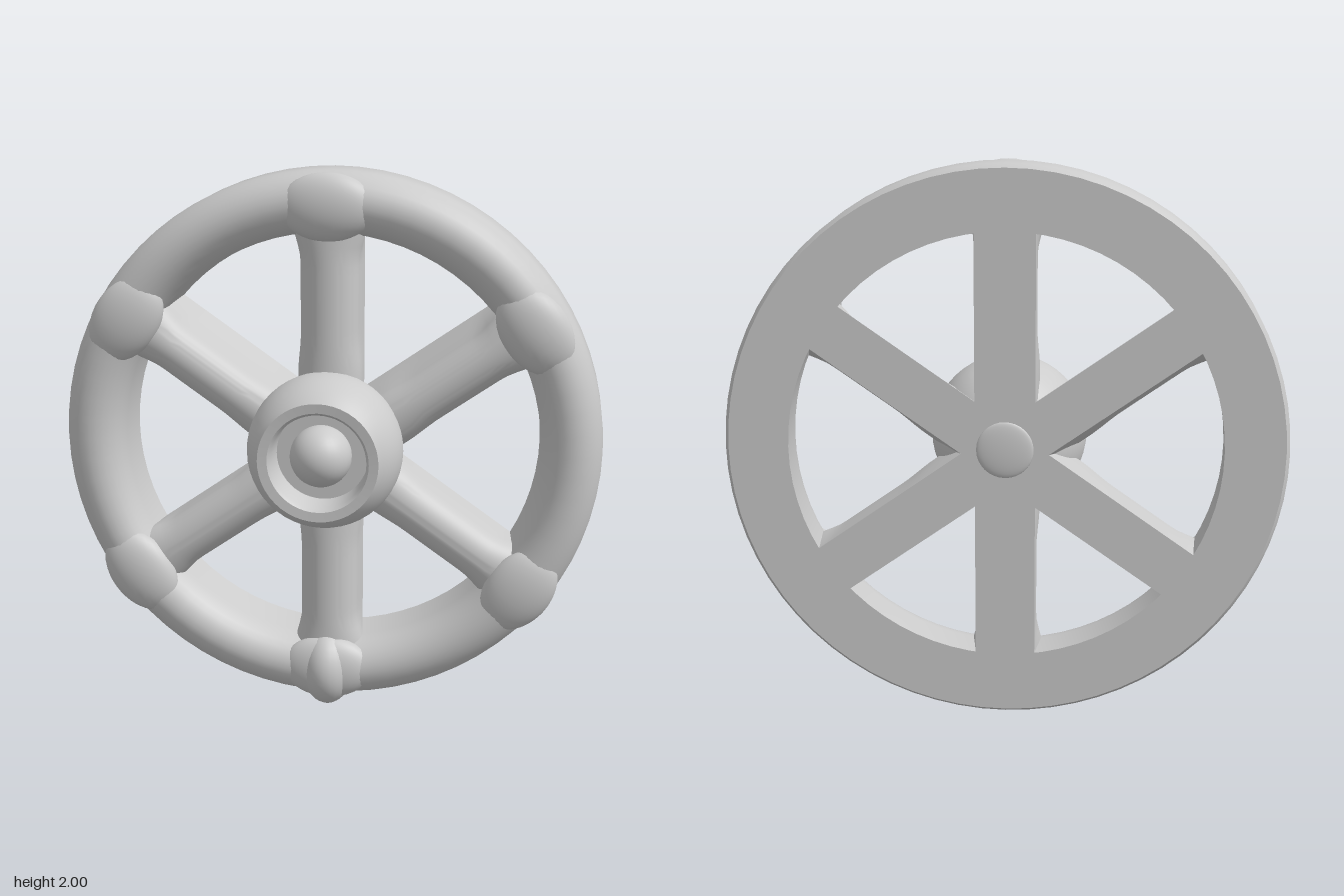
import * as THREE from 'three';
import { toCreasedNormals } from 'three/addons/utils/BufferGeometryUtils.js';

const CENTER_Y = 1.015;
const BACK = -0.235;

export function createModel() {
  const model = new THREE.Group();
  const wheel = new THREE.Group();
  wheel.name = 'wheel';
  wheel.position.y = CENTER_Y;
  model.add(wheel);

  const material = new THREE.MeshStandardMaterial({ color: 0xcccccc });

  function add(name, geometry, x = 0, y = 0, z = 0) {
    const mesh = new THREE.Mesh(geometry, material);
    mesh.name = name;
    mesh.position.set(x, y, z);
    wheel.add(mesh);
    return mesh;
  }

  // Revolves [radius, z] pairs around the wheel axle
  function revolve(points, segments) {
    const profile = points.map(([r, z]) => new THREE.Vector2(r, z));
    const geometry = new THREE.LatheGeometry(profile, segments).rotateX(Math.PI / 2);
    return toCreasedNormals(geometry, 0.7);
  }

  // Rim: flat back, rounded front
  const rim = [[0.757, BACK], [0.968, BACK], [0.982, -0.215]];
  for (let i = 0; i <= 14; i++) {
    const a = (i / 14) * Math.PI;
    rim.push([0.873 + 0.11 * Math.cos(a), -0.085 + 0.123 * Math.sin(a)]);
  }
  rim.push([0.757, BACK]);
  add('rim', revolve(rim, 72));

  // Spoke: flat back, rounded front that flares into the rim; lean slides the front sideways
  function makeSpoke(halfWidth, lean) {
    const section = new THREE.Shape();
    section.moveTo(-halfWidth, -BACK);
    section.lineTo(halfWidth, -BACK);
    section.lineTo(halfWidth, 0.16);
    section.lineTo(halfWidth, 0.08);
    section.absellipse(0, 0.08, halfWidth, 0.09, 0, -Math.PI, true);
    section.lineTo(-halfWidth, 0.16);
    section.closePath();
    const bar = new THREE.ExtrudeGeometry(section, {
      depth: 0.82, steps: 24, bevelEnabled: false, curveSegments: 16,
    }).rotateX(-Math.PI / 2);
    const pos = bar.attributes.position;
    for (let i = 0; i < pos.count; i++) {
      const r = pos.getY(i);
      const front = THREE.MathUtils.smoothstep(pos.getZ(i), BACK, -0.08);
      const flare = 0.25 * THREE.MathUtils.smoothstep(r, 0.66, 0.8)
        + 0.1 * (1 - THREE.MathUtils.smoothstep(r, 0.25, 0.4));
      pos.setX(i, pos.getX(i) * (1 + flare * front) + lean * front);
    }
    return toCreasedNormals(bar, 0.7);
  }

  // Six spokes, each with a soft swelling on the rim; the upper slanted ones sag at the front
  const swelling = new THREE.SphereGeometry(1, 28, 18).scale(0.17, 0.12, 0.065);
  const spokes = [
    { degrees: 90, width: 0.105, lean: 0, drop: 0 },
    { degrees: 270, width: 0.105, lean: 0, drop: 0 },
    { degrees: 35, width: 0.09, lean: 0.045, drop: -0.012 },
    { degrees: 145, width: 0.09, lean: -0.045, drop: -0.012 },
    { degrees: 215, width: 0.092, lean: 0, drop: -0.02 },
    { degrees: 325, width: 0.092, lean: 0, drop: -0.02 },
  ];
  for (const { degrees, width, lean, drop } of spokes) {
    const group = new THREE.Group();
    group.name = 'spoke';
    group.position.y = drop;
    group.rotation.z = THREE.MathUtils.degToRad(degrees - 90);
    wheel.add(group);
    group.add(add('spokeBar', makeSpoke(width, lean)));
    group.add(add('spokeJoint', swelling, lean, 0.86, -0.004));
  }

  // Larger lump at the bottom of the rim
  add('bottomLump', new THREE.SphereGeometry(1, 24, 16).scale(0.1, 0.145, 0.13), 0, -0.87, -0.04);

  // Hub: round shell with a flat lip and a socket
  const hub = [[0, -0.2]];
  for (let i = 0; i <= 20; i++) {
    const a = THREE.MathUtils.lerp(-1.05, 0.7, i / 20);
    hub.push([0.28 * Math.cos(a), 0.04 + 0.28 * Math.sin(a)]);
  }
  hub.push([0.18, 0.218], [0.17, 0.205], [0.165, 0.1], [0, 0.1]);
  add('hub', revolve(hub, 48));

  // Ball seated in the socket, and the shallow cap behind
  add('hubBall', new THREE.SphereGeometry(0.11, 28, 20), 0, 0.005, 0.14);
  add('backCap', new THREE.SphereGeometry(1, 28, 16).scale(0.1, 0.1, 0.015), 0, 0, BACK);

  return model;
}
